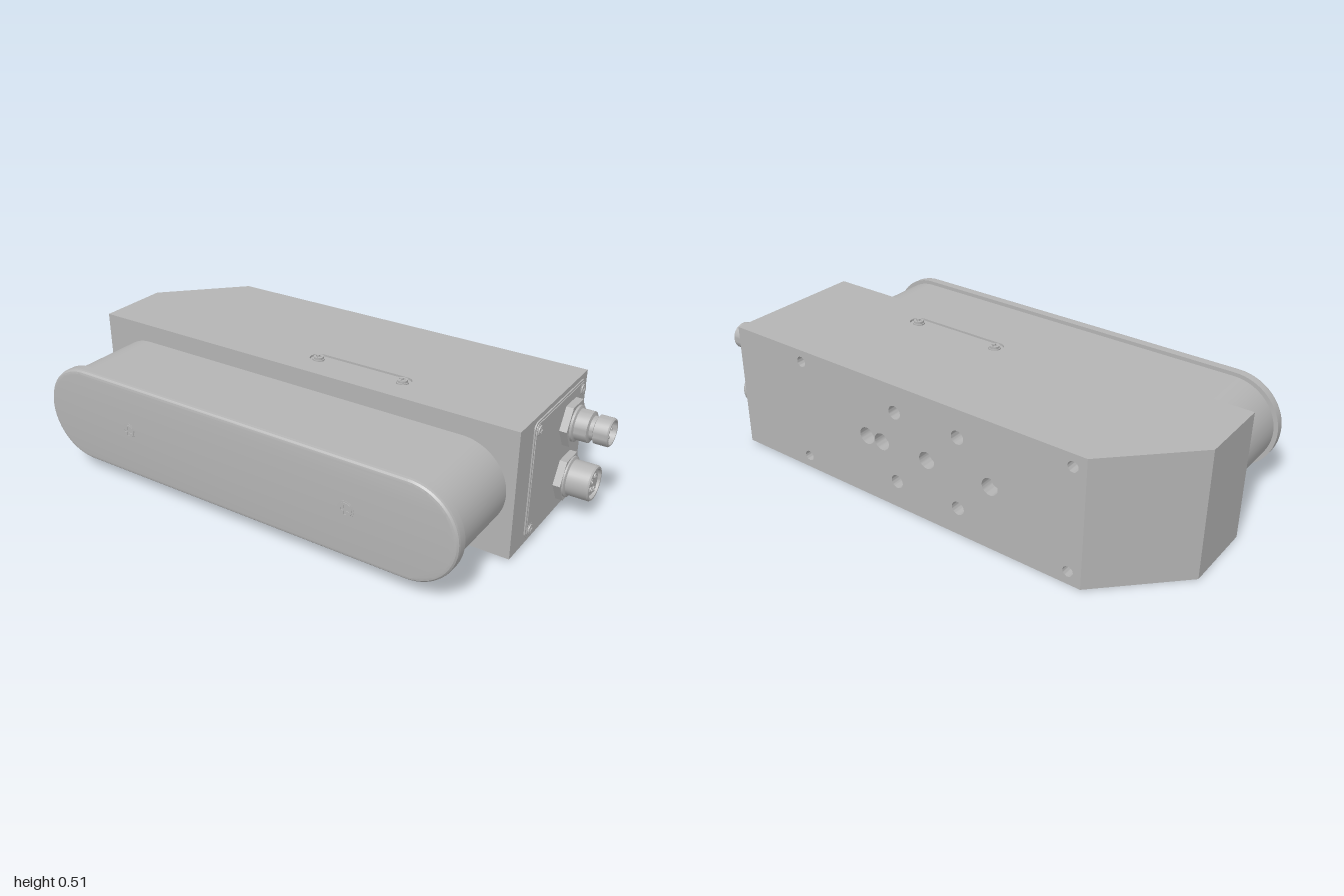
import * as THREE from 'three';
import { toCreasedNormals } from 'three/addons/utils/BufferGeometryUtils.js';

const grey = new THREE.MeshStandardMaterial({ color: 0xb4b4b4 });
grey.name = 'housingGrey';

function add(parent, name, geometry, x = 0, y = 0, z = 0) {
  const mesh = new THREE.Mesh(toCreasedNormals(geometry, 0.5), grey);
  mesh.name = name;
  mesh.position.set(x, y, z);
  parent.add(mesh);
  return mesh;
}

const extrude = (shape, depth, options = {}) =>
  new THREE.ExtrudeGeometry(shape, { depth, bevelEnabled: false, curveSegments: 24, ...options });

const polygon = (points) => new THREE.Shape(points.map(([x, y]) => new THREE.Vector2(x, y)));

const circle = (x, y, r) => new THREE.Path().absarc(x, y, r, 0, Math.PI * 2, true);

// Slot outline: straight half length s, end radius r
function stadium(s, r, cx = 0, cy = 0) {
  const shape = new THREE.Shape();
  shape.absarc(cx + s, cy, r, -Math.PI / 2, Math.PI / 2, false);
  shape.absarc(cx - s, cy, r, Math.PI / 2, Math.PI * 1.5, false);
  shape.closePath();
  return shape;
}

function roundedRect(x0, y0, x1, y1, r) {
  const s = new THREE.Shape();
  s.absarc(x1 - r, y0 + r, r, -Math.PI / 2, 0, false);
  s.absarc(x1 - r, y1 - r, r, 0, Math.PI / 2, false);
  s.absarc(x0 + r, y1 - r, r, Math.PI / 2, Math.PI, false);
  s.absarc(x0 + r, y0 + r, r, Math.PI, Math.PI * 1.5, false);
  s.closePath();
  return s;
}

// Cross-head screw facing +z, with its base at the origin
function screw(parent, name, r, h, x, y, z) {
  const g = new THREE.Group();
  g.name = name;
  g.position.set(x, y, z);
  const disc = new THREE.CylinderGeometry(r, r, h * 0.4, 32).rotateX(Math.PI / 2);
  add(g, 'screwBase', disc, 0, 0, h * 0.2);
  const head = new THREE.Shape().absarc(0, 0, r * 0.82, 0, Math.PI * 2, false);
  const a = r * 0.14, b = r * 0.55;
  head.holes.push(polygon([[a, b], [a, a], [b, a], [b, -a], [a, -a], [a, -b],
    [-a, -b], [-a, -a], [-b, -a], [-b, a], [-a, a], [-a, b]]));
  add(g, 'screwHead', extrude(head, h * 0.6), 0, 0, h * 0.4);
  parent.add(g);
  return g;
}

// Revolved part built along +x from [radius, distance] pairs
const turned = (profile) => new THREE.LatheGeometry(
  profile.map(([r, t]) => new THREE.Vector2(r, t)), 40).rotateZ(-Math.PI / 2);

const rod = (r, length, sides = 20) =>
  new THREE.CylinderGeometry(r, r, length, sides).rotateZ(-Math.PI / 2).translate(length / 2, 0, 0);

function buildBody(model) {
  const H = 0.497, lid = 0.008;
  // Main block with one chamfered corner; shape y is -z
  const core = polygon([[-1, -0.1], [0.83, -0.1], [0.83, 0.42], [-0.77, 0.42], [-1, 0.19]]);
  add(model, 'housingCore', extrude(core, H - lid).rotateX(-Math.PI / 2));
  const wedge = polygon([[-0.77, 0.42], [-0.72, 0.42], [-0.72, 0.47]]);
  add(model, 'housingCorner', extrude(wedge, H - lid).rotateX(-Math.PI / 2));

  // Top skin with a shallow slot
  const top = polygon([[-1, -0.1], [0.83, -0.1], [0.83, 0.47], [-0.72, 0.47], [-1, 0.19]]);
  top.holes.push(stadium(0.18, 0.034, 0.14, 0.02));
  add(model, 'housingTop', extrude(top, lid).rotateX(-Math.PI / 2), 0, H - lid, 0);

  // Rear wall with mounting holes
  const back = polygon([[-0.72, 0], [0.83, 0], [0.83, H - lid], [-0.72, H - lid]]);
  for (const x of [0.19, 0.12, -0.085, -0.355]) back.holes.push(circle(x, 0.25, 0.033));
  for (const y of [0.108, 0.39]) {
    for (const x of [0.055, -0.22]) back.holes.push(circle(x, y, 0.026));
  }
  for (const y of [0.05, 0.45]) {
    for (const x of [0.5, -0.67]) back.holes.push(circle(x, y, 0.02));
  }
  add(model, 'rearMountingWall', extrude(back, 0.05), 0, 0, -0.47);

  // Screws in the top slot
  for (const x of [-0.04, 0.32]) {
    screw(model, 'topScrew', 0.023, 0.014, x, H - lid, -0.02).rotation.x = -Math.PI / 2;
  }
}

function buildFront(model) {
  const x = -0.08, y = 0.25;
  add(model, 'frontNeck', extrude(stadium(0.703, 0.175), 0.35), x, y, 0.09);
  add(model, 'frontFlange', extrude(stadium(0.705, 0.19), 0.028), x, y, 0.427);
  // Window cover with a sloped rim
  add(model, 'frontCover', extrude(stadium(0.705, 0.174), 0.001, {
    bevelEnabled: true, bevelThickness: 0.016, bevelSize: 0.016, bevelSegments: 3,
  }), x, y, 0.455);
  for (const sx of [-0.565, 0.4]) screw(model, 'frontScrew', 0.032, 0.004, sx, y, 0.4715);
}

function connector(model, name, y, hexRadius, profile, faceX) {
  const g = new THREE.Group();
  g.name = name;
  g.position.set(0.838, y, -0.313);
  add(g, 'hexNut', rod(hexRadius, 0.028, 6));
  add(g, 'barrel', turned(profile));
  model.add(g);
  return { g, faceX };
}

function buildEnd(model) {
  // Raised end panel; shape x is -z
  add(model, 'endPanelRim', extrude(roundedRect(0.01, 0.02, 0.448, 0.478, 0.025), 0.005).rotateY(Math.PI / 2), 0.83);
  add(model, 'endPanel', extrude(roundedRect(0.017, 0.027, 0.441, 0.471, 0.02), 0.008).rotateY(Math.PI / 2), 0.83);
  for (const y of [0.051, 0.444]) {
    for (const z of [-0.04, -0.415]) {
      screw(model, 'panelScrew', 0.023, 0.008, 0.836, y, z).rotation.y = Math.PI / 2;
    }
  }

  // Upper plug with pins
  const plug = connector(model, 'upperConnector', 0.359, 0.089, [
    [0.068, 0.028], [0.068, 0.036], [0.058, 0.04], [0.058, 0.086], [0.044, 0.09], [0.044, 0.104],
    [0.053, 0.108], [0.053, 0.157], [0.049, 0.162], [0.043, 0.162], [0.043, 0.115], [0, 0.115]], 0.115);
  add(plug.g, 'pin', rod(0.005, 0.035, 12), plug.faceX, 0, 0);
  for (let i = 0; i < 5; i++) {
    const a = (i + 0.5) * Math.PI * 2 / 5;
    add(plug.g, 'pin', rod(0.005, 0.035, 12), plug.faceX, Math.sin(a) * 0.027, Math.cos(a) * 0.027);
  }

  // Lower socket with four sleeves
  const socket = connector(model, 'lowerConnector', 0.139, 0.093, [
    [0.078, 0.028], [0.078, 0.034], [0.068, 0.038], [0.068, 0.118], [0.064, 0.124], [0.057, 0.124],
    [0.057, 0.1], [0.046, 0.1], [0.046, 0.116], [0, 0.116]], 0.116);
  for (const [y, z] of [[0.027, -0.008], [0.016, 0.022], [-0.027, -0.008], [-0.016, 0.022]]) {
    add(socket.g, 'contactSleeve', turned([
      [0.011, 0], [0.011, 0.005], [0.006, 0.005], [0.006, 0.0005], [0, 0.0005]]), socket.faceX, y, z);
  }
}

export function createModel() {
  const root = new THREE.Group();
  root.name = 'sensorUnit';
  const model = new THREE.Group();
  model.name = 'sensorAssembly';
  buildBody(model);
  buildFront(model);
  buildEnd(model);
  // The unit sits very slightly tilted
  model.rotation.z = 0.006;
  model.position.y = 0.006;
  root.add(model);
  return root;
}
